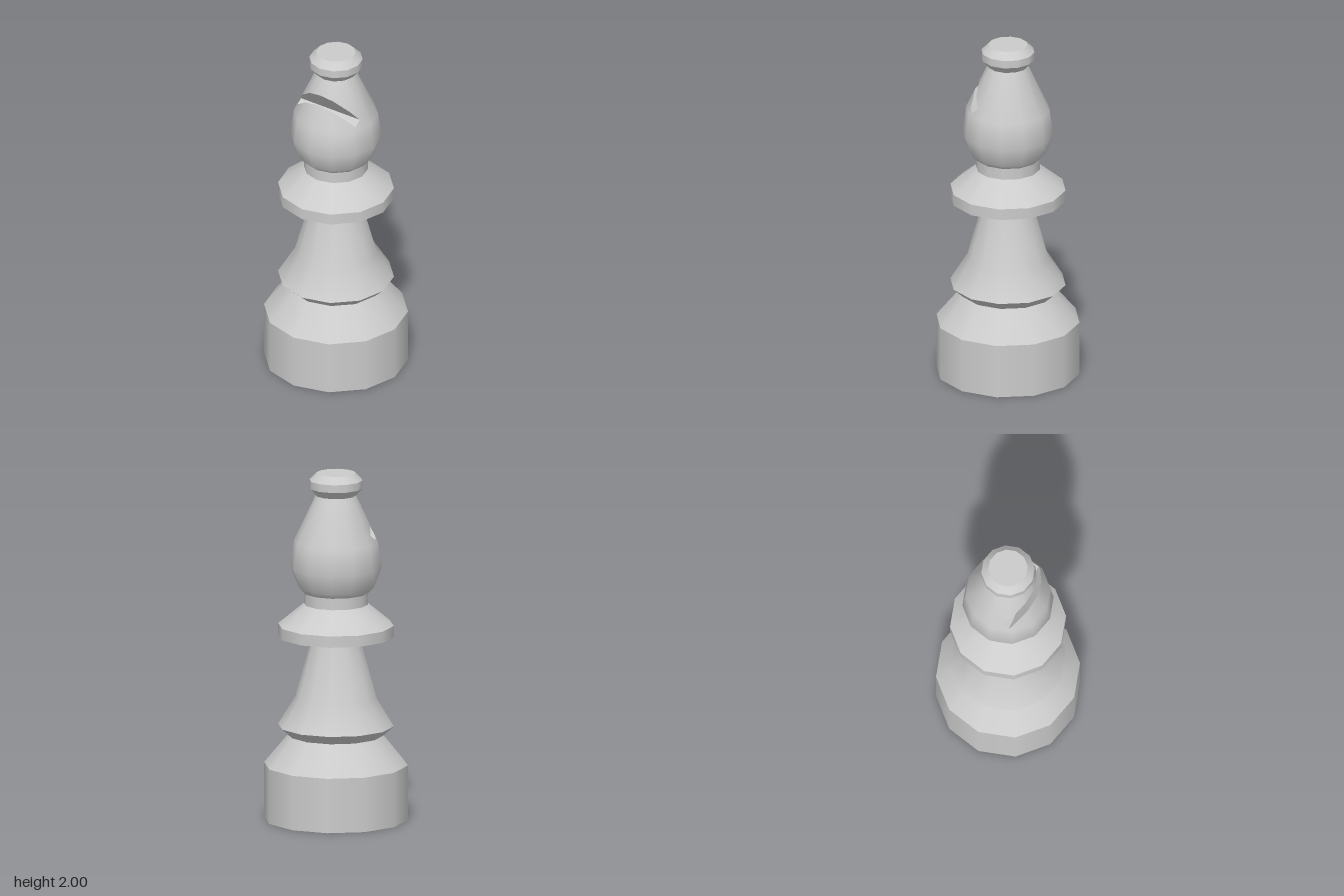
import * as THREE from 'three';
import { mergeGeometries } from 'three/addons/utils/BufferGeometryUtils.js';

const SIDES = 12;
const material = new THREE.MeshStandardMaterial({ color: 0xcccccc });

// One turned band; normals are smooth inside it and sharp at its two ends.
const band = (points) =>
  new THREE.LatheGeometry(points.map(([r, y]) => new THREE.Vector2(r, y)), SIDES);

// A turned part: each entry is a smooth band of [radius, height] points.
function turned(name, bands) {
  const mesh = new THREE.Mesh(mergeGeometries(bands.map(band)), material);
  mesh.name = name;
  return mesh;
}

// Split a convex polygon of {p, n} corners by a plane into [behind, in front].
function split(poly, plane) {
  const behind = [], front = [];
  poly.forEach((a, i) => {
    const b = poly[(i + 1) % poly.length];
    const da = plane.distanceToPoint(a.p), db = plane.distanceToPoint(b.p);
    (da <= 0 ? behind : front).push(a);
    if ((da <= 0) !== (db <= 0)) {
      const t = da / (da - db);
      const cut = { p: a.p.clone().lerp(b.p, t), n: a.n.clone().lerp(b.n, t).normalize() };
      behind.push(cut);
      front.push(cut);
    }
  });
  return [behind, front];
}

// Fan-triangulate polygons into one geometry.
function fromPolygons(polys) {
  const position = [], normal = [];
  for (const poly of polys)
    for (let i = 1; i < poly.length - 1; i++)
      for (const c of [poly[0], poly[i], poly[i + 1]]) {
        position.push(...c.p.toArray());
        normal.push(...c.n.toArray());
      }
  const geometry = new THREE.BufferGeometry();
  geometry.setAttribute('position', new THREE.Float32BufferAttribute(position, 3));
  geometry.setAttribute('normal', new THREE.Float32BufferAttribute(normal, 3));
  return geometry;
}

// Convex head with a slanted slot cut through it from front to back.
function slottedHead(profile) {
  const source = band(profile).toNonIndexed();
  const { position, normal } = source.attributes;
  const triangles = [];
  for (let i = 0; i < position.count; i += 3)
    triangles.push([i, i + 1, i + 2].map((k) => ({
      p: new THREE.Vector3().fromBufferAttribute(position, k),
      n: new THREE.Vector3().fromBufferAttribute(normal, k),
    })));

  // Slot outline: floor between two corners, sides running up and outwards
  const a = new THREE.Vector3(-0.097, 1.62, 0), b = new THREE.Vector3(-0.055, 1.65, 0);
  const out = new THREE.Vector3(-0.59, 0.807, 0).multiplyScalar(0.4);
  const edges = [[a, b], [b, b.clone().add(out)], [a.clone().add(out), a]];
  const slotPlanes = edges.map(([p, q]) => new THREE.Plane().setFromNormalAndCoplanarPoint(
    new THREE.Vector3(q.y - p.y, p.x - q.x, 0).normalize(), p));

  // Skin outside the slot
  const polys = [];
  for (const triangle of triangles) {
    let rest = triangle;
    for (const plane of slotPlanes) {
      const [behind, front] = split(rest, plane);
      if (front.length > 2) polys.push(front);
      rest = behind;
    }
  }

  // Slot walls, trimmed to the head's surface
  const skinPlanes = triangles.map((t) =>
    new THREE.Plane().setFromCoplanarPoints(t[0].p, t[1].p, t[2].p));
  edges.forEach(([p, q], i) => {
    const n = slotPlanes[i].normal.clone().negate();
    let wall = [[p, -1], [p, 1], [q, 1], [q, -1]].map(([c, z]) => ({
      p: new THREE.Vector3(c.x, c.y, z), n }));
    for (const plane of skinPlanes) wall = split(wall, plane)[0];
    if (wall.length > 2) polys.push(wall);
  });

  const mesh = new THREE.Mesh(fromPolygons(polys), material);
  mesh.name = 'head';
  return mesh;
}

export function createModel() {
  const model = new THREE.Group();
  model.name = 'chessPiece';
  model.add(
    turned('base', [
      [[0, 0], [0.41, 0]],
      [[0.41, 0], [0.41, 0.315]],
      [[0.41, 0.315], [0.27, 0.485]],
    ]),
    turned('stem', [
      [[0.27, 0.485], [0.33, 0.54]],
      [[0.33, 0.54], [0.232, 0.7], [0.143, 1.025]],
    ]),
    turned('collar', [
      [[0.143, 1.025], [0.33, 1.057]],
      [[0.33, 1.057], [0.33, 1.122]],
      [[0.33, 1.122], [0.183, 1.243]],
      [[0.183, 1.243], [0.183, 1.31]],
    ]),
    slottedHead([[0.185, 1.31], [0.215, 1.34], [0.26, 1.455], [0.24, 1.605], [0.115, 1.872]]),
    turned('finial', [
      [[0.115, 1.872], [0.152, 1.915]],
      [[0.152, 1.915], [0.152, 1.96]],
      [[0.152, 1.96], [0.112, 2]],
      [[0.112, 2], [0, 2]],
    ]),
  );
  return model;
}
